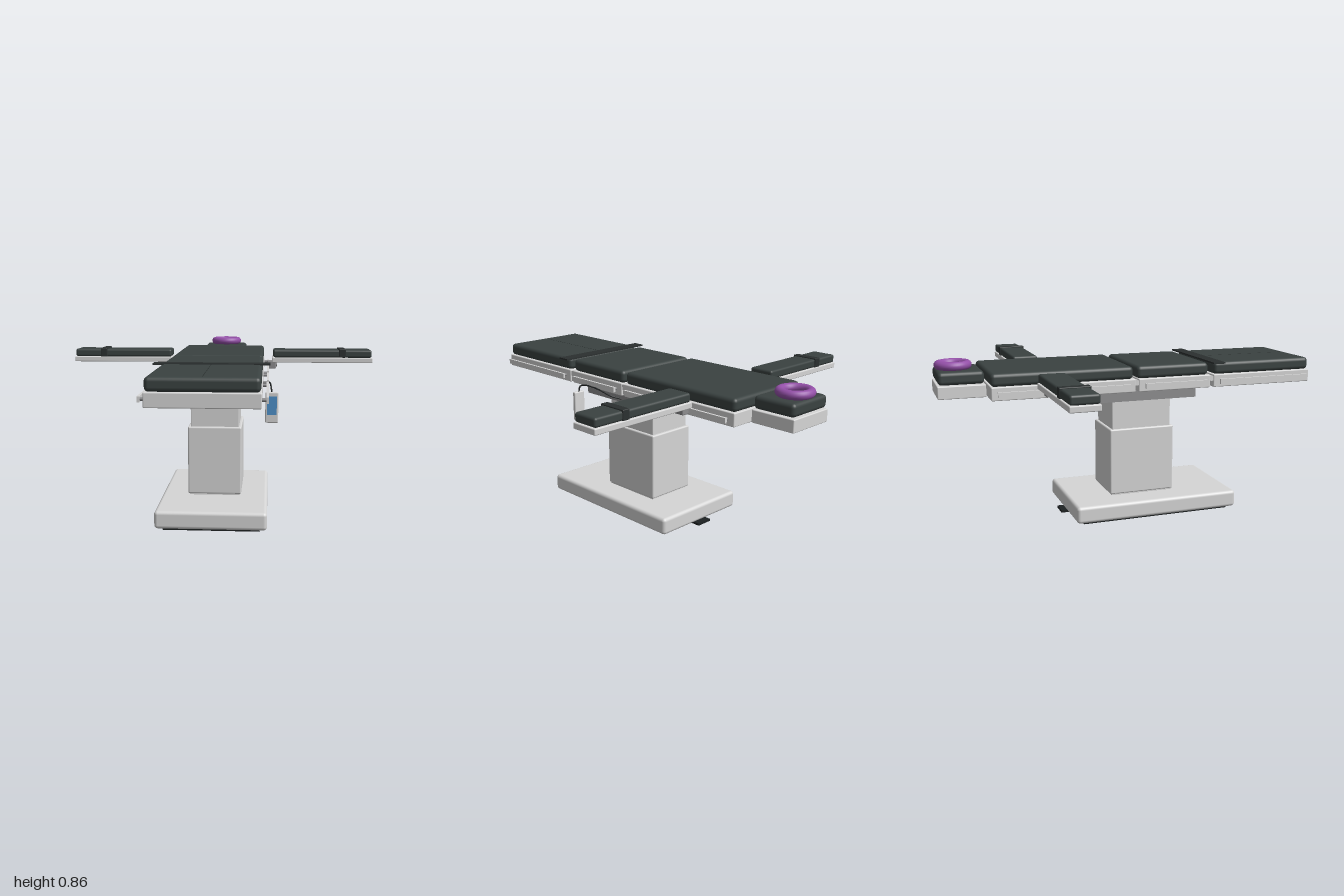
import * as THREE from 'three';
import { RoundedBoxGeometry } from 'three/addons/geometries/RoundedBoxGeometry.js';

const material = (name, color) => {
  const m = new THREE.MeshStandardMaterial({ color });
  m.name = name;
  return m;
};

export function createModel() {
  const model = new THREE.Group();
  model.name = 'operatingTable';

  const shell = material('light grey', 0xd6d6d6);
  const metal = material('mid grey', 0x8e8e90);
  const cushion = material('charcoal', 0x3a4241);
  const strapMat = material('dark strap', 0x2b3030);
  const rubber = material('black rubber', 0x1d2122);
  const purple = material('purple gel', 0x9450a8);
  const blue = material('screen blue', 0x4f92cc);

  const add = (name, geometry, mat, parent = model) => {
    const mesh = new THREE.Mesh(geometry, mat);
    mesh.name = name;
    parent.add(mesh);
    return mesh;
  };
  // Box given by its [min, max] extents, with optional rounded edges
  const box = (name, mat, [x0, x1], [y0, y1], [z0, z1], radius = 0, parent = model) => {
    const size = [x1 - x0, y1 - y0, z1 - z0];
    const g = radius ? new RoundedBoxGeometry(...size, 3, radius) : new THREE.BoxGeometry(...size);
    const mesh = add(name, g, mat, parent);
    mesh.position.set((x0 + x1) / 2, (y0 + y1) / 2, (z0 + z1) / 2);
    return mesh;
  };
  // Cylinder lying along x
  const rod = (name, mat, x, y, z, radius, length, parent = model) => {
    const mesh = add(name, new THREE.CylinderGeometry(radius, radius, length, 16), mat, parent);
    mesh.rotation.z = Math.PI / 2;
    mesh.position.set(x, y, z);
    return mesh;
  };

  // Base and telescopic column
  box('floorPad', rubber, [-0.24, 0.24], [0, 0.025], [-0.3, 0.52]);
  box('base', shell, [-0.278, 0.278], [0.015, 0.105], [-0.343, 0.56], 0.018);
  box('footPedal', rubber, [-0.045, 0.045], [0.006, 0.018], [-0.37, -0.3]);
  box('columnCollar', shell, [-0.132, 0.132], [0.1, 0.12], [-0.11, 0.232]);
  box('lowerColumn', shell, [-0.14, 0.14], [0.112, 0.47], [-0.12, 0.24], 0.008);
  box('upperColumn', shell, [-0.126, 0.126], [0.46, 0.64], [-0.105, 0.225], 0.004);
  box('topPlate', metal, [-0.19, 0.19], [0.63, 0.685], [-0.226, 0.346]);

  // Table sections: frame, mattress and accessory rails
  const sections = [
    ['leg', 0.422, 1, 0.425, 0.995],
    ['seat', 0, 0.402, -0.008, 0.392],
    ['back', -0.758, -0.018, -0.758, -0.028],
  ];
  for (const [name, z0, z1, m0, m1] of sections) {
    const section = new THREE.Group();
    section.name = name + 'Section';
    model.add(section);
    box(name + 'Frame', shell, [-0.25, 0.25], [0.688, 0.755], [z0, z1], 0.005, section);
    box(name + 'Mattress', cushion, [-0.247, 0.247], [0.755, 0.82], [m0, m1], 0.02, section);
    for (const s of [-1, 1]) {
      const rail = box(name + 'Rail', shell, [-0.006, 0.006], [0.708, 0.734], [z0 + 0.028, z1 - 0.028], 0, section);
      rail.position.x = s * 0.274;
      for (const z of [z0 + 0.045, z1 - 0.045])
        rod(name + 'RailSpacer', metal, s * 0.259, 0.721, z, 0.008, 0.022, section);
    }
  }
  // Hinges bridging neighbouring sections
  for (const z of [-0.009, 0.412]) rod('hinge', shell, 0, 0.735, z, 0.015, 0.49);

  // Head rest with ring cushion
  box('headFrame', shell, [-0.132, 0.132], [0.688, 0.752], [-1, -0.762], 0.005);
  box('headMattress', cushion, [-0.13, 0.13], [0.755, 0.82], [-0.995, -0.768], 0.02);
  const ring = add('headRing', new THREE.TorusGeometry(0.072, 0.022, 16, 48), purple);
  ring.rotation.x = Math.PI / 2;
  ring.position.set(0, 0.84, -0.905);

  // Leg strap and mattress seam
  box('legStrap', strapMat, [-0.285, 0.285], [0.816, 0.824], [0.405, 0.47]);
  box('legSeam', strapMat, [-0.0015, 0.0015], [0.818, 0.8205], [0.47, 0.97]);

  // Arm boards on both sides
  for (const s of [-1, 1]) {
    const arm = new THREE.Group();
    arm.name = s > 0 ? 'leftArmBoard' : 'rightArmBoard';
    model.add(arm);
    const span = (a, b) => (s > 0 ? [a, b] : [-b, -a]);
    box('armPlate', shell, span(0.297, 0.887), [0.745, 0.775], [-0.543, -0.4], 0.005, arm);
    box('armCushion', cushion, span(0.303, 0.882), [0.775, 0.82], [-0.54, -0.403], 0.012, arm);
    box('armStrap', strapMat, span(0.69, 0.73), [0.776, 0.826], [-0.545, -0.398], 0.004, arm);
    box('armClamp', metal, span(0.268, 0.32), [0.705, 0.752], [-0.505, -0.435], 0.005, arm);
    rod('clampKnob', metal, s * 0.318, 0.728, -0.47, 0.014, 0.02, arm);
  }

  // Hand control hanging on its cable
  const cable = new THREE.CatmullRomCurve3([
    [0.185, 0.645, 0.07], [0.235, 0.665, 0.1], [0.265, 0.695, 0.17], [0.282, 0.706, 0.235],
    [0.29, 0.695, 0.29], [0.295, 0.655, 0.3],
  ].map((p) => new THREE.Vector3(...p)));
  add('controlCable', new THREE.TubeGeometry(cable, 32, 0.004, 8), rubber);
  box('handControl', shell, [0.262, 0.328], [0.508, 0.665], [0.29, 0.31], 0.006);
  box('controlScreen', blue, [0.27, 0.32], [0.55, 0.645], [0.306, 0.312]);

  return model;
}
